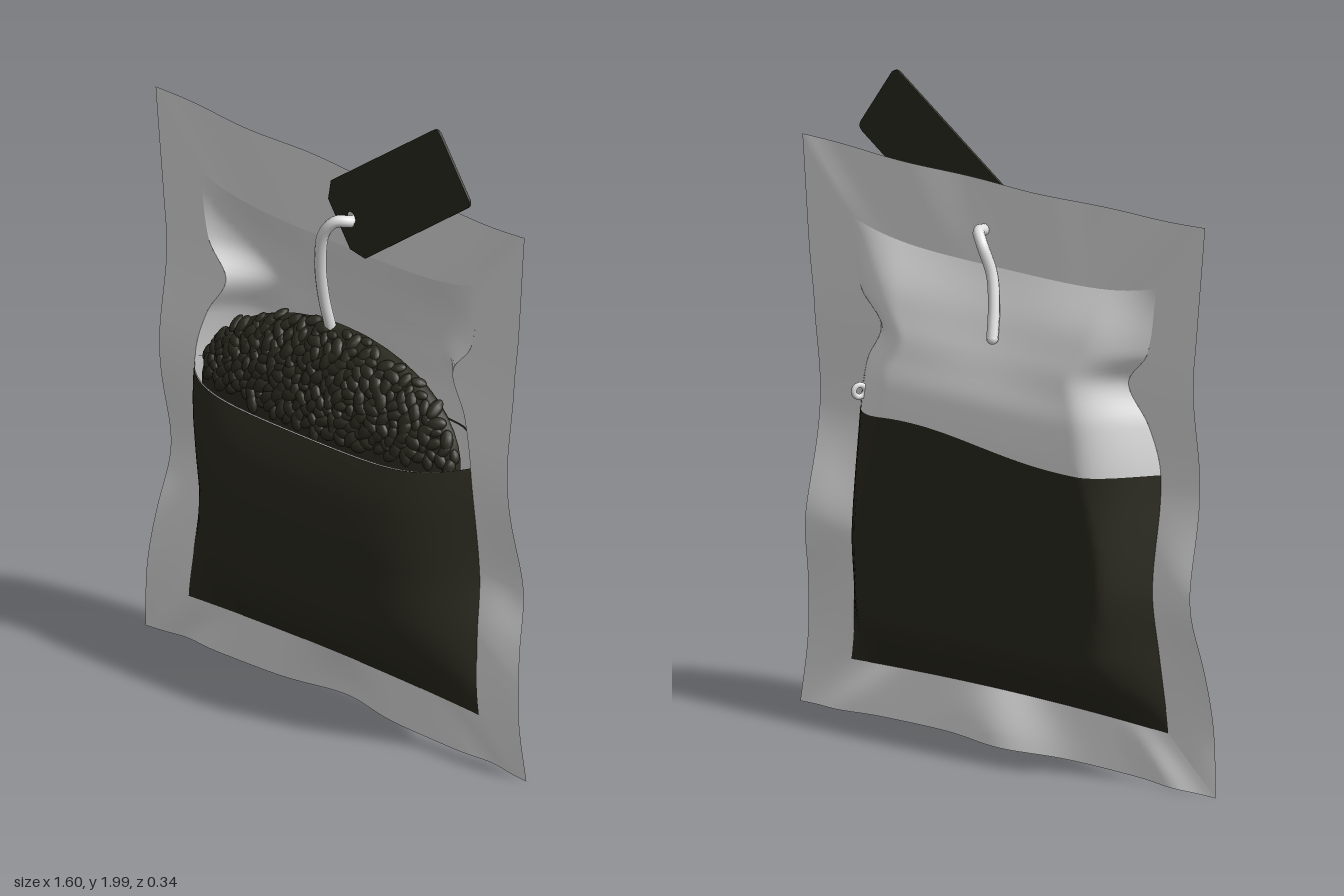
import * as THREE from 'three';
import { mergeGeometries } from 'three/addons/utils/BufferGeometryUtils.js';

const lerp = THREE.MathUtils.lerp;
const hump = (d, width) => Math.exp(-((d / width) ** 2));

// Smooth cubic curve through [position, value] pairs
function curve(table, t) {
  const last = table.length - 1;
  let i = 1;
  while (i < last && t > table[i][0]) i++;
  const slope = (k) => {
    const [p, vp] = table[Math.max(0, k - 1)], [n, vn] = table[Math.min(last, k + 1)];
    return (vn - vp) / (n - p);
  };
  const [a, va] = table[i - 1], [b, vb] = table[i];
  const h = b - a, k = THREE.MathUtils.clamp((t - a) / h, 0, 1), m = 1 - k;
  return va * (1 + 2 * k) * m * m + slope(i - 1) * h * k * m * m
    + vb * k * k * (3 - 2 * k) - slope(i) * h * k * k * m;
}

// Small seeded random generator
function seeded(seed) {
  return () => (seed = (seed * 16807) % 2147483647) / 2147483647;
}

// Grid surface: fn(s, t) returns [x, y, z], s and t run 0..1
function surface(ns, nt, fn) {
  const pos = [], index = [];
  for (let j = 0; j <= nt; j++) {
    for (let i = 0; i <= ns; i++) pos.push(...fn(i / ns, j / nt));
  }
  for (let j = 0; j < nt; j++) {
    for (let i = 0; i < ns; i++) {
      const a = j * (ns + 1) + i, b = a + 1, c = a + ns + 1, d = c + 1;
      index.push(a, b, d, a, d, c);
    }
  }
  const g = new THREE.BufferGeometry();
  g.setAttribute('position', new THREE.Float32BufferAttribute(pos, 3));
  g.setIndex(index);
  g.computeVertexNormals();
  return g;
}

// Half widths of the pocket and of the sheet, and sideways buckling of the seam, by height
const pocketWidth = [[0.16, 0.61], [0.3, 0.595], [0.6, 0.578], [0.95, 0.578], [1.1, 0.54],
  [1.22, 0.475], [1.32, 0.55], [1.53, 0.585]];
const sheetWidth = [[0, 0.8], [0.3, 0.772], [0.6, 0.74], [0.9, 0.732], [1.25, 0.73], [1.4, 0.745], [1.75, 0.775]];
const seamZ = [[0, -0.03], [0.2, -0.015], [0.4, -0.03], [0.6, -0.05], [0.95, -0.012], [1.25, -0.04], [1.75, -0.035]];
// Bulges by pocket height (0 bottom, 1 top)
const backDepth = [[0, 0], [0.04, 0.058], [0.095, 0.12], [0.18, 0.155], [0.59, 0.157], [0.69, 0.14],
  [0.76, 0.113], [0.83, 0.09], [0.91, 0.06], [1, 0]];
const frontDepth = [[0, 0], [0.04, 0.06], [0.09, 0.125], [0.17, 0.18], [0.335, 0.216], [0.46, 0.185], [0.58, 0.122]];

// Point on the pocket's seam plane, u -1..1, v 0..1
function pocketPoint(u, v) {
  const y = lerp(0.18 - 0.015 * u * u, 1.48 + 0.05 * u ** 4, v);
  return [u * curve(pocketWidth, y) + 0.005, y, curve(seamZ, y)];
}

function backPoint(u, v, inset = 0) {
  const [x, y, z] = pocketPoint(u, v);
  const side = Math.sin(Math.min(1, (1 - Math.abs(u)) / 0.35) * Math.PI / 2);
  const sag = 1 - 0.42 * hump(u, 0.5) * THREE.MathUtils.smoothstep(v, 0.7, 1);
  const bulge = Math.min(0.168 + z, curve(backDepth, v) * side * sag);
  return [x, y, z - bulge * (1 - inset)];
}

function frontPoint(u, v, inset = 0) {
  const [x, y, z] = pocketPoint(u, v);
  const power = lerp(2.4, 6, v / 0.575);
  return [x, y, z + (1 - inset) * curve(frontDepth, v) * (1 - Math.abs(u) ** power)];
}

const backEdge = (u) => 0.575 + 0.03 * (1 - u ** 4) + 0.018 * Math.sin(Math.PI * u);
const frontEdge = (u) => 0.575 - 0.012 * (1 - u * u);

// Walk around the border square: returns u -1..1, v 0..1
function perimeter(s) {
  const k = (s * 4) % 4, f = k % 1;
  if (k < 1) return [2 * f - 1, 0];
  if (k < 2) return [1, f];
  if (k < 3) return [1 - 2 * f, 1];
  return [-1, 1 - f];
}

// Flat sealed border from the pocket seam out to the sheet edge
function borderPoint(s, t) {
  const [u, v] = perimeter(s);
  const [ix, iy, iz] = pocketPoint(u, v);
  const oy = lerp(0.02 - 0.015 * u * u, 1.735 + 0.013 * u * u, v);
  const ox = u * curve(sheetWidth, oy) + 0.012 * v;
  let ripple = -0.022 * hump(v - 0.33, 0.1);
  if (v === 0) ripple = -0.045 * hump(u, 0.2) - 0.015 * hump(Math.abs(u) - 0.8, 0.1);
  if (v === 1) ripple = 0.007 * Math.sin(u * Math.PI * 3);
  const z = lerp(iz, curve(seamZ, oy), t) + ripple * Math.sin(t * Math.PI / 2);
  return [lerp(ix, ox, t), lerp(iy, oy, t), z];
}

export function createModel() {
  const model = new THREE.Group();
  const paper = new THREE.MeshStandardMaterial({ color: 0xe2e2e2, side: THREE.DoubleSide });
  paper.name = 'paper white';
  const dark = new THREE.MeshStandardMaterial({ color: 0x2a291f, side: THREE.DoubleSide });
  dark.name = 'dark olive';

  const add = (name, geometry, material) => {
    const mesh = new THREE.Mesh(geometry, material);
    mesh.name = name;
    model.add(mesh);
    return mesh;
  };

  // Sheet: sealed border and white upper back
  add('sealedBorder', surface(256, 6, borderPoint), paper);
  add('upperBack', surface(64, 28, (s, t) => {
    const u = 2 * s - 1;
    return backPoint(u, lerp(backEdge(u), 1, t));
  }), paper);

  // Dark lower back and front pocket panel, each with a white lining
  const panel = (point, edge, inset) => surface(64, 32, (s, t) => {
    const u = 2 * s - 1;
    return point(u, t * edge(u), inset);
  });
  add('lowerBack', panel(backPoint, backEdge, 0), dark);
  add('backLining', panel(backPoint, backEdge, 0.05), paper);
  add('frontPanel', panel(frontPoint, frontEdge, 0), dark);
  add('frontLining', panel(frontPoint, frontEdge, 0.05), paper);

  // Small fold on the back beside the pocket edge
  const fold = new THREE.TorusGeometry(0.018, 0.009, 8, 16);
  fold.rotateY(Math.PI / 3);
  fold.translate(0.5, 1.03, -0.115);
  add('cornerFold', fold, paper);

  // Mound of filling, leaning back, with loose grains over its upper surface
  const centre = new THREE.Vector3(0.01, 0.92, 0);
  const radii = new THREE.Vector3(0.535, 0.3, 0.09);
  const lean = new THREE.Matrix4().set(1, 0, 0, 0, 0, 1, 0, 0, 0, -0.14, 1, 0.14 * centre.y, 0, 0, 0, 1);
  const mound = new THREE.SphereGeometry(1, 40, 24);
  mound.scale(radii.x, radii.y, radii.z);
  mound.translate(centre.x, centre.y, centre.z);
  mound.applyMatrix4(lean);
  add('fillingMound', mound, dark);

  const random = seeded(71);
  const grains = [];
  const count = 250;
  for (let i = 0; i < count; i++) {
    const angle = Math.PI * (0.02 + 0.96 * ((i * 0.618034) % 1)) + 0.06 * (random() - 0.5);
    const r = Math.sqrt((i + random()) / count);
    const n = new THREE.Vector3(r * Math.cos(angle), r * Math.sin(angle), Math.sqrt(1 - r * r));
    const p = n.clone().multiply(radii).add(centre);
    const normal = n.clone().divide(radii).normalize();
    const size = 0.015 + 0.01 * random();
    const grain = new THREE.SphereGeometry(size, 10, 7);
    grain.scale(1.35, 0.85, 0.6);
    grain.rotateZ(random() * Math.PI);
    grain.applyQuaternion(new THREE.Quaternion().setFromUnitVectors(new THREE.Vector3(0, 0, 1), normal));
    grain.translate(p.x, p.y, p.z);
    grains.push(grain);
  }
  add('grains', mergeGeometries(grains).applyMatrix4(lean), dark);

  // Tag with clipped inner corners and a hole
  const L = 0.294, W = 0.126, c = 0.045, q = 0.025;
  const shape = new THREE.Shape();
  shape.moveTo(-L + c, -W);
  shape.lineTo(L - q, -W);
  shape.quadraticCurveTo(L, -W, L, -W + q);
  shape.lineTo(L, W - q);
  shape.quadraticCurveTo(L, W, L - q, W);
  shape.lineTo(-L + c, W);
  shape.lineTo(-L, W - c);
  shape.lineTo(-L, -W + c);
  shape.closePath();
  shape.holes.push(new THREE.Path().absarc(-0.235, 0, 0.02, 0, Math.PI * 2, true));
  const tag = add('tag', new THREE.ExtrudeGeometry(shape, { depth: 0.008, bevelEnabled: false }), dark);
  tag.rotation.z = 0.605;
  tag.position.set(0.284, 1.737, -0.009);

  // String from the mound, through tag and sheet, down the back
  const path = new THREE.CatmullRomCurve3([
    [-0.02, 1.2, -0.03], [-0.022, 1.32, 0], [-0.005, 1.45, 0.03], [0.025, 1.55, 0.043],
    [0.06, 1.592, 0.03], [0.088, 1.592, 0], [0.086, 1.585, -0.035], [0.075, 1.59, -0.075],
    [0.045, 1.56, -0.095], [0.015, 1.47, -0.085], [-0.005, 1.38, -0.1], [-0.02, 1.29, -0.125],
  ].map((p) => new THREE.Vector3(...p)));
  add('string', new THREE.TubeGeometry(path, 80, 0.018, 10), paper);
  for (const end of [path.getPoint(0), path.getPoint(1)]) {
    add('stringEnd', new THREE.SphereGeometry(0.018, 10, 8), paper).position.copy(end);
  }

  return model;
}
